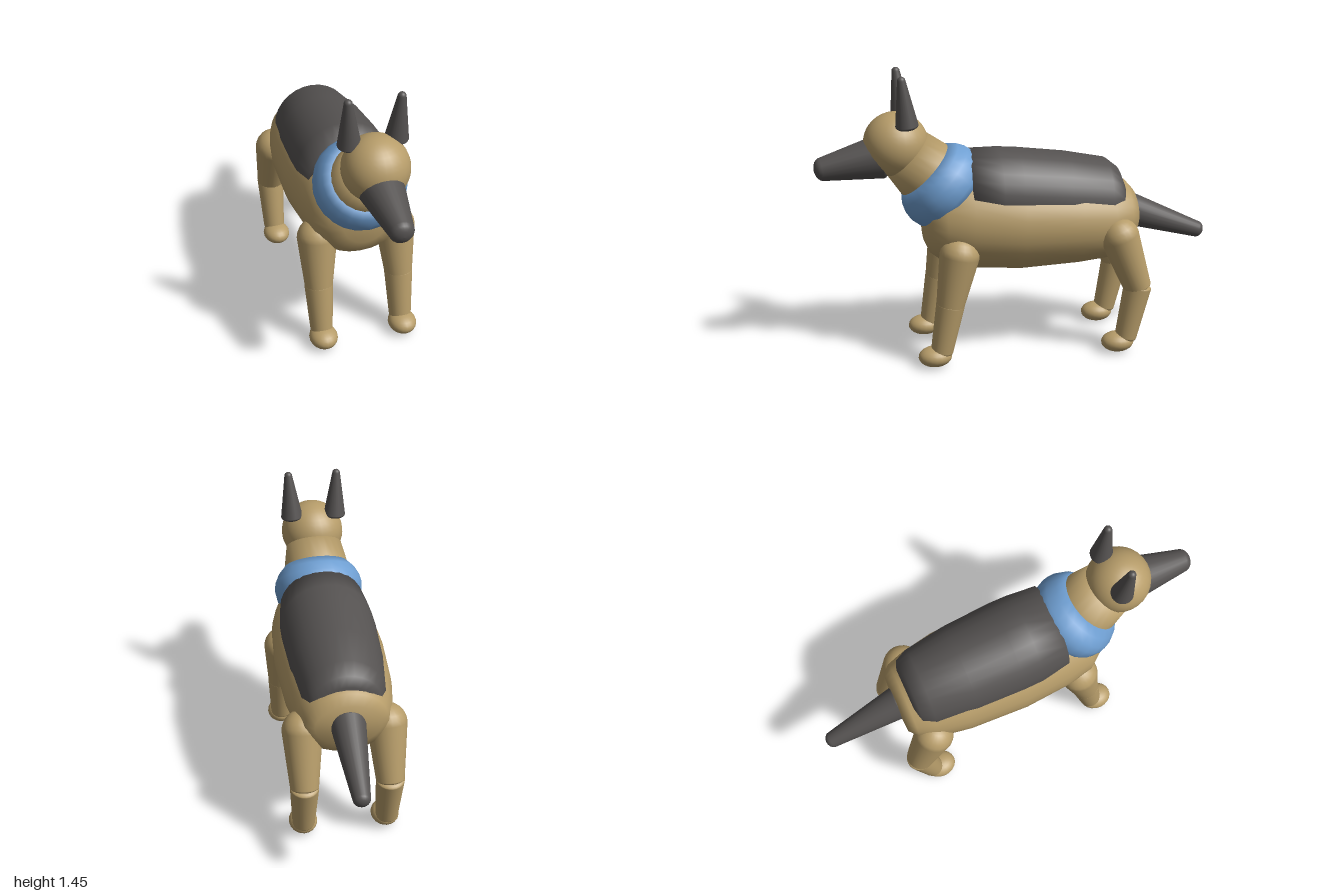
import * as THREE from 'three';

const V = (x, y, z) => new THREE.Vector3(x, y, z);

export function createModel() {
  const group = new THREE.Group();
  const material = (name, color) => {
    const m = new THREE.MeshStandardMaterial({ color });
    m.name = name;
    return m;
  };
  const tan = material('tan fur', 0xb79d6a);
  const dark = material('dark fur', 0x555251);
  const blue = material('blue collar', 0x6f9fd2);

  const add = (name, geometry, mat) => {
    const mesh = new THREE.Mesh(geometry, mat);
    mesh.name = name;
    group.add(mesh);
    return mesh;
  };

  // Turn a profile of [radius, distance] points around the axis a -> b
  const lathe = (name, mat, a, b, profile) => {
    const points = profile.map(([r, s]) => new THREE.Vector2(r, s));
    const mesh = add(name, new THREE.LatheGeometry(points, 24), mat);
    mesh.position.copy(a);
    mesh.quaternion.setFromUnitVectors(V(0, 1, 0), b.clone().sub(a).normalize());
    return mesh;
  };

  // Tapered limb whose rounded caps extend past a and b by cap * radius
  const limb = (name, mat, a, b, ra, rb, capA = 1, capB = 1) => {
    const length = a.distanceTo(b);
    const profile = [];
    for (let i = 0; i <= 6; i++) {
      const t = (i / 6) * Math.PI / 2;
      profile.push([ra * Math.sin(t), -ra * capA * Math.cos(t)]);
    }
    for (let i = 0; i <= 6; i++) {
      const t = (i / 6) * Math.PI / 2;
      profile.push([rb * Math.cos(t), length + rb * capB * Math.sin(t)]);
    }
    return lathe(name, mat, a, b, profile);
  };

  // Closed skin over elliptical sections [z, centre y, half width, half height], front to back
  const loft = (name, mat, sections) => {
    const n = 28, positions = [], index = [];
    for (const [z, cy, rx, ry] of sections) {
      for (let k = 0; k < n; k++) {
        const t = (k / n) * Math.PI * 2;
        positions.push(rx * Math.cos(t), cy + ry * Math.sin(t), z);
      }
    }
    const last = sections.length - 1;
    const front = positions.length / 3;
    positions.push(0, sections[0][1], sections[0][0] + 0.01);
    positions.push(0, sections[last][1], sections[last][0] - 0.01);
    for (let k = 0; k < n; k++) {
      const k2 = (k + 1) % n;
      for (let i = 0; i < last; i++) {
        const a = i * n + k, b = i * n + k2, c = a + n, d = b + n;
        index.push(a, c, b, b, c, d);
      }
      index.push(front, k, k2, front + 1, last * n + k2, last * n + k);
    }
    const g = new THREE.BufferGeometry();
    g.setAttribute('position', new THREE.Float32BufferAttribute(positions, 3));
    g.setIndex(index);
    g.computeVertexNormals();
    return add(name, g, mat);
  };

  // Barrel body
  loft('body', tan, [
    [0.475, 0.71, 0.11, 0.11], [0.45, 0.705, 0.18, 0.165], [0.38, 0.705, 0.235, 0.22],
    [0.25, 0.71, 0.265, 0.26], [0, 0.69, 0.28, 0.26], [-0.3, 0.68, 0.265, 0.24],
    [-0.47, 0.67, 0.235, 0.215], [-0.56, 0.69, 0.2, 0.165], [-0.6, 0.7, 0.16, 0.11],
  ]);

  // Dark saddle over the back
  loft('saddle', dark, [
    [0.25, 0.855, 0.217, 0.2], [0.1, 0.825, 0.237, 0.23], [0, 0.815, 0.24, 0.232],
    [-0.25, 0.79, 0.23, 0.225], [-0.46, 0.768, 0.203, 0.205], [-0.52, 0.765, 0.175, 0.16],
    [-0.54, 0.765, 0.14, 0.11],
  ]);

  // Neck and collar share one axis rising toward the head
  const base = V(0, 0.957, 0.455), head = V(0, 1.1, 0.6);
  lathe('neck', tan, base, head, [[0, -0.2], [0.19, -0.2], [0.168, 0], [0.144, 0.125], [0, 0.125]]);
  lathe('collar', blue, base, head, [
    [0, -0.23], [0.19, -0.22], [0.222, -0.16], [0.23, -0.11], [0.222, -0.07],
    [0.2, -0.025], [0.166, 0.012], [0, 0.012],
  ]);

  // Head, muzzle and ears
  add('head', new THREE.SphereGeometry(0.16, 28, 20), tan).position.copy(head);
  limb('muzzle', dark, V(0, 1.04, 0.68), V(0, 0.992, 0.96), 0.108, 0.058, 0.4, 0.7);
  for (const [side, x] of [['left', 1], ['right', -1]]) {
    limb(side + 'Ear', dark, V(0.112 * x, 1.215, 0.555), V(0.124 * x, 1.435, 0.577), 0.056, 0.02, 0.4, 1);

    // Legs: [name, hip, knee, ankle, paw z]
    const legs = [
      ['Front', V(0.2, 0.57, 0.325), V(0.208, 0.32, 0.375), V(0.208, 0.08, 0.42), 0.455],
      ['Hind', V(0.205, 0.615, -0.487), V(0.21, 0.345, -0.585), V(0.21, 0.08, -0.53), -0.487],
    ];
    for (const [name, hip, knee, ankle, pawZ] of legs) {
      for (const p of [hip, knee, ankle]) p.x *= x;
      limb(side + name + 'UpperLeg', tan, hip, knee, 0.099, 0.07, 1, 0.3);
      limb(side + name + 'LowerLeg', tan, knee, ankle, 0.071, 0.056, 0.3, 0.5);
      const paw = add(side + name + 'Paw', new THREE.SphereGeometry(1, 20, 14), tan);
      paw.scale.set(0.071, 0.051, 0.084);
      paw.position.set(0.208 * x, 0.052, pawZ);
    }
  }

  // Tail
  limb('tail', dark, V(0, 0.7, -0.58), V(0, 0.56, -0.962), 0.086, 0.042, 0.5, 0.8);

  return group;
}
